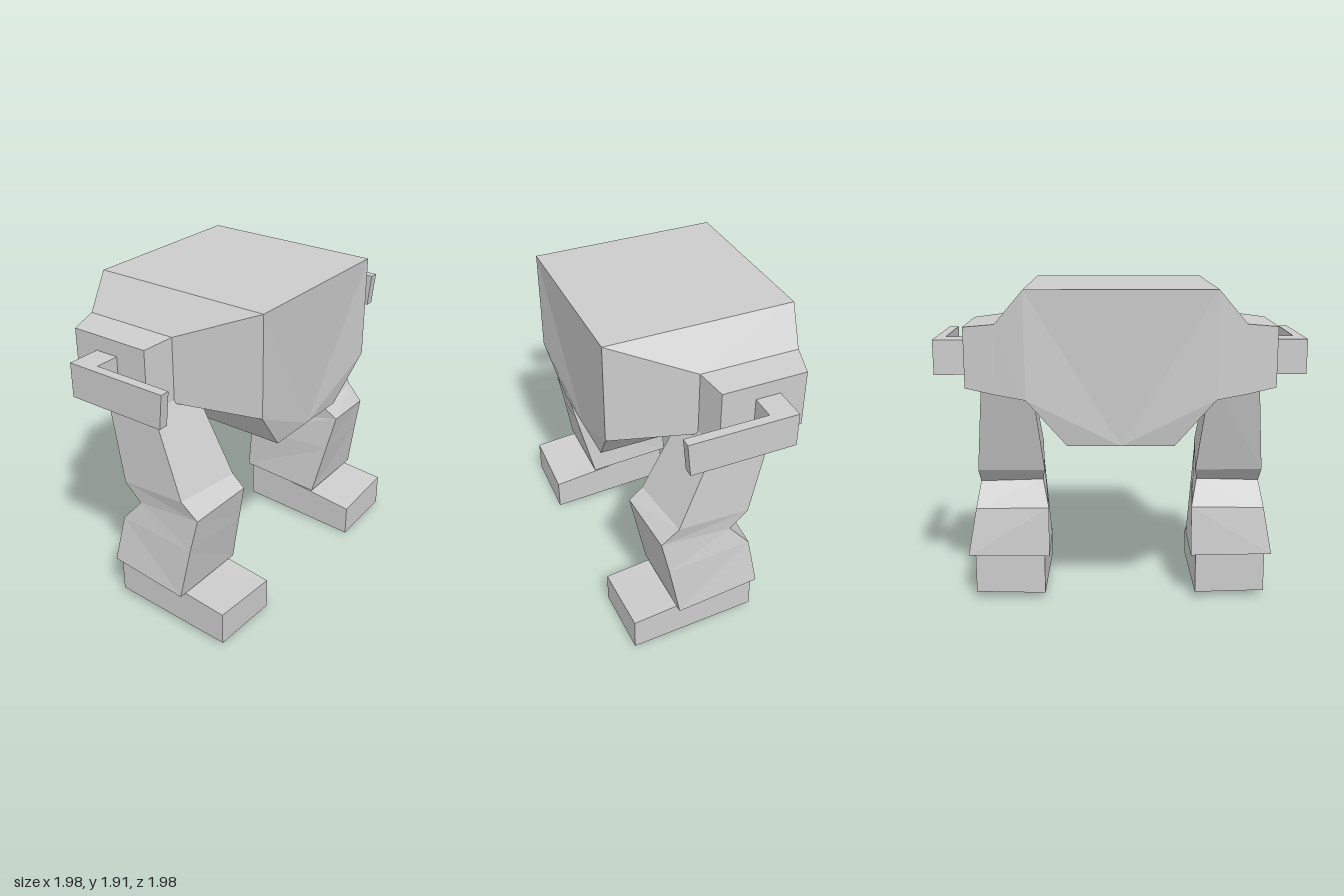
import * as THREE from 'three';

const material = new THREE.MeshStandardMaterial({ color: 0xcccccc, flatShading: true });

// Closed solid through matching rings of [x, y, z] corners, listed clockwise
// as seen from outside the first ring. side = -1 mirrors it across x = 0.
function loft(name, rings, side = 1) {
  const pos = [];
  const tri = (a, b, c) => {
    for (const p of side > 0 ? [a, b, c] : [a, c, b]) pos.push(p[0] * side, p[1], p[2]);
  };
  const n = rings[0].length;
  for (let r = 0; r + 1 < rings.length; r++) {
    const A = rings[r], B = rings[r + 1];
    for (let i = 0; i < n; i++) {
      const j = (i + 1) % n;
      tri(A[i], A[j], B[j]);
      tri(A[i], B[j], B[i]);
    }
  }
  const first = rings[0], last = rings[rings.length - 1];
  for (let k = 1; k + 1 < n; k++) {
    tri(first[0], first[k + 1], first[k]);
    tri(last[0], last[k], last[k + 1]);
  }
  const geometry = new THREE.BufferGeometry();
  geometry.setAttribute('position', new THREE.Float32BufferAttribute(pos, 3));
  geometry.computeVertexNormals();
  const mesh = new THREE.Mesh(geometry, material);
  mesh.name = name;
  return mesh;
}

// Horizontal four-cornered ring: back outer, front outer, front inner, back inner
const level = (bo, fo, fi, bi) => [bo, fo, fi, bi];
const rect = (inner, outer, back, front, y) =>
  level([outer, y, back], [outer, y, front], [inner, y, front], [inner, y, back]);

// Upright four-cornered ring across the shoulder
const upright = (x, low, high, back, front) =>
  [[x, low, back], [x, high, back], [x, high, front], [x, low, front]];

// Outline of the body, with the belly set in slightly
const torsoRing = (z, bellyZ) => [
  [0, 1.04, bellyZ], [-0.3, 1.04, bellyZ], [-0.525, 1.31, z], [-0.525, 1.91, z],
  [0.525, 1.91, z], [0.525, 1.31, z], [0.3, 1.04, bellyZ],
];

function addSide(parent, side, label) {
  // Shoulder stepping out from the body
  parent.add(loft(label + 'Shoulder', [
    upright(0.525, 1.31, 1.91, -0.587, 0.515),
    upright(0.69, 1.33, 1.72, -0.537, 0.045),
    upright(0.868, 1.36, 1.7, -0.488, 0.008),
  ], side));

  // Hooked arm: short stub and a thin forward blade
  const arm = new THREE.Group();
  arm.name = label + 'Arm';
  arm.add(loft('armStub', [
    rect(0.84, 1.01, -0.335, -0.19, 1.61),
    rect(0.84, 1.01, -0.335, -0.19, 1.41),
  ], side));
  arm.add(loft('armBlade', [
    rect(1.01, 1.065, -0.335, 0.29, 1.61),
    rect(1.01, 1.065, -0.335, 0.27, 1.41),
  ], side));
  parent.add(arm);

  // Leg: thigh, bent knee and shin, from top to ankle
  parent.add(loft(label + 'Leg', [
    level([0.79, 1.4, -0.38], [0.83, 1.4, -0.01], [0.55, 1.4, 0.06], [0.51, 1.4, -0.4]),
    level([0.85, 0.81, -0.21], [0.89, 0.87, 0.24], [0.49, 0.87, 0.29], [0.45, 0.81, -0.22]),
    level([0.85, 0.71, -0.1], [0.877, 0.775, 0.34], [0.5, 0.81, 0.375], [0.47, 0.72, -0.1]),
    level([0.87, 0.57, -0.22], [0.9, 0.57, 0.3], [0.477, 0.58, 0.325], [0.43, 0.58, -0.24]),
    level([0.92, 0.285, -0.26], [0.93, 0.245, 0.244], [0.442, 0.245, 0.25], [0.43, 0.28, -0.265]),
  ], side));

  // Foot sloping down to the toe
  parent.add(loft(label + 'Foot', [
    level([0.88, 0.285, -0.25], [0.89, 0.22, 0.512], [0.46, 0.19, 0.516], [0.46, 0.275, -0.25]),
    level([0.88, 0.045, -0.25], [0.89, 0.018, 0.512], [0.46, 0, 0.516], [0.46, 0.035, -0.25]),
  ], side));
}

export function createModel() {
  const model = new THREE.Group();
  model.name = 'walker';

  const figure = new THREE.Group();
  figure.name = 'figure';
  figure.position.x = -0.01;
  figure.add(loft('torso', [torsoRing(0.515, 0.465), torsoRing(-0.587, -0.54)]));
  addSide(figure, 1, 'left');
  addSide(figure, -1, 'right');

  // The walker stands turned an eighth of a circle
  const turn = new THREE.Group();
  turn.name = 'turnedFigure';
  turn.rotation.y = Math.PI / 4;
  turn.add(figure);
  model.add(turn);
  return model;
}
